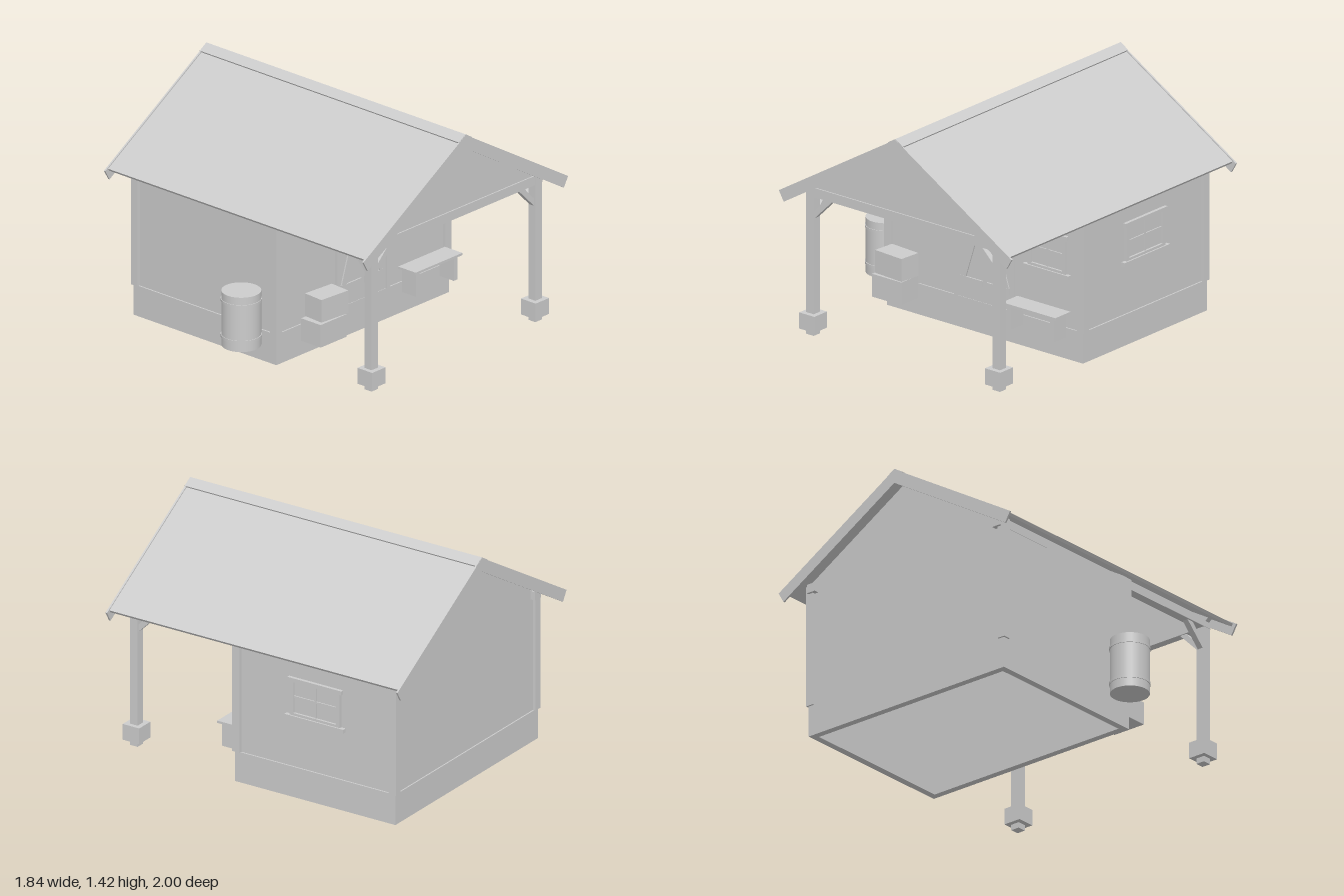
import * as THREE from 'three';

const material = new THREE.MeshStandardMaterial({ color: 0xcccccc, flatShading: true });
const smooth = new THREE.MeshStandardMaterial({ color: 0xcccccc });
const CX = 0.057; // centre line of the house
const SLOPE = 0.603; // roof rise per unit of run

export function createModel() {
  const root = new THREE.Group();

  const group = (name, parent = root) => {
    const g = new THREE.Group();
    g.name = name;
    parent.add(g);
    return g;
  };
  const add = (name, geometry, parent = root, mat = material) => {
    const mesh = new THREE.Mesh(geometry, mat);
    mesh.name = name;
    parent.add(mesh);
    return mesh;
  };
  // box given by its limits on each axis
  const box = (name, [x0, x1], [y0, y1], [z0, z1], parent = root) => {
    const mesh = add(name, new THREE.BoxGeometry(x1 - x0, y1 - y0, z1 - z0), parent);
    mesh.position.set((x0 + x1) / 2, (y0 + y1) / 2, (z0 + z1) / 2);
    return mesh;
  };
  // flat outline extruded from z0 to z1
  const slab = (name, points, z0, z1, parent = root) => {
    const shape = new THREE.Shape(points.map(([x, y]) => new THREE.Vector2(x, y)));
    const mesh = add(name, new THREE.ExtrudeGeometry(shape, { depth: z1 - z0, bevelEnabled: false }), parent);
    mesh.position.z = z0;
    return mesh;
  };
  // outline mirrored about the house centre line, from a half listed apex first, apex last
  const mirrored = (half) => [
    ...half.map(([x, y]) => [CX + x, y]),
    ...half.filter(([x]) => x > 0).reverse().map(([x, y]) => [CX - x, y]),
  ];
  // pair of limits on one side of the centre line
  const sideRange = (s, a, b) => (s > 0 ? [CX + a, CX + b] : [CX - b, CX - a]);

  // foundation: a hollow ring, open below
  const foundation = group('foundation');
  for (const s of [-1, 1]) box('foundationSide', sideRange(s, 0.685, 0.727), [0, 0.188], [-0.895, 0.205], foundation);
  box('foundationFront', [CX - 0.69, CX + 0.69], [0, 0.188], [0.163, 0.205], foundation);
  box('foundationBack', [CX - 0.69, CX + 0.69], [0, 0.188], [-0.895, -0.853], foundation);

  // walls with gables, and corner boards
  const walls = group('walls');
  const gableEnd = mirrored([[0, 1.385], [0.718, 1.385 - 0.718 * SLOPE], [0.718, 0.188]]);
  slab('frontWall', gableEnd, 0.163, 0.197, walls);
  slab('backWall', gableEnd, -0.887, -0.853, walls);
  for (const s of [-1, 1]) {
    box('sideWall', sideRange(s, 0.685, 0.718), [0.188, 0.94], [-0.86, 0.17], walls);
    for (const z of [-0.905, 0.165]) box('cornerBoard', sideRange(s, 0.688, 0.738), [0.188, 0.935], [z, z + 0.05], walls);
  }

  // roof
  const roof = group('roof');
  const chevron = (name, half, z0, z1) => slab(name, [
    [CX, half[0]],
    [CX + half[1][0], half[1][1]],
    [CX + half[2][0], half[2][1]],
    [CX, half[3]],
    [CX - half[2][0], half[2][1]],
    [CX - half[1][0], half[1][1]],
  ], z0, z1, roof);
  chevron('roofPanels', [1.412, [0.838, 0.907], [0.828, 0.892], 1.39], -0.99, 0.99);
  chevron('ridgeCap', [1.424, [0.056, 1.39], [0.05, 1.379], 1.405], -0.999, 0.999);
  for (const z of [-1, 0.989]) chevron('bargeBoards', [1.42, [0.862, 0.9], [0.826, 0.838], 1.335], z, z + 0.011);

  // porch frame
  const porch = group('porch');
  slab('porchGable', mirrored([[0, 1.385], [0.738, 0.94], [0.69, 0.9]]), 0.888, 0.92, porch);
  box('crossBeam', [CX - 0.718, CX + 0.718], [0.885, 0.942], [0.878, 0.928], porch);
  for (const s of [-1, 1]) {
    box('eaveBeam', sideRange(s, 0.661, 0.719), [0.887, 0.94], [-0.92, 0.932], porch);
    box('porchPost', sideRange(s, 0.662, 0.718), [0.04, 0.93], [0.876, 0.93], porch);
    box('postFooting', sideRange(s, 0.632, 0.745), [0.074, 0.172], [0.847, 0.96], porch);
    // diagonal braces, one across and one along the house
    const brace = [[0, 0.755], [0.135, 0.89], [0.09, 0.89], [0, 0.8]];
    slab('crossBrace', brace.map(([d, y]) => [CX + s * (0.662 - d), y]), 0.885, 0.921, porch);
    const along = slab('lengthBrace', brace, -0.018, 0.018, porch);
    along.rotation.y = Math.PI / 2;
    along.position.set(CX + s * 0.69 - 0.018, 0, 0.876);
  }

  // double door with Z bracing
  const door = group('door');
  box('doorPanel', [-0.14, 0.254], [0.188, 0.857], [0.19, 0.202], door);
  box('doorFrameTop', [-0.165, 0.28], [0.857, 0.885], [0.19, 0.214], door);
  for (const s of [-1, 1]) {
    box('doorFrameSide', sideRange(s, 0.197, 0.222), [0.188, 0.857], [0.19, 0.214], door);
    for (const y of [0.28, 0.709]) box('doorBatten', sideRange(s, 0.015, 0.182), [y, y + 0.04], [0.195, 0.211], door);
    slab('doorDiagonal', [[0.015, 0.709], [0.055, 0.709], [0.182, 0.32], [0.138, 0.32]]
      .map(([x, y]) => [CX + s * x, y]), 0.198, 0.21, door);
  }

  // window facing +z around its own centre; w is the opening width
  const makeWindow = (name, w) => {
    const win = group(name);
    const h = w / 2;
    box('glass', [-h, h], [0.52, 0.725], [-0.005, 0.003], win);
    box('header', [-h - 0.038, h + 0.038], [0.72, 0.745], [-0.005, 0.02], win);
    box('sill', [-h - 0.055, h + 0.055], [0.488, 0.512], [-0.005, 0.025], win);
    box('lowerRail', [-h, h], [0.512, 0.527], [-0.005, 0.016], win);
    for (const s of [-1, 1]) {
      const x = s * (h + 0.0125);
      box('jamb', [x - 0.0125, x + 0.0125], [0.512, 0.72], [-0.005, 0.016], win);
    }
    box('uprightBar', [-0.006, 0.006], [0.527, 0.72], [0, 0.01], win);
    box('crossBar', [-h, h], [0.62, 0.632], [0, 0.01], win);
    return win;
  };
  makeWindow('frontWindow', 0.228).position.set(0.52, 0, 0.197);
  const sideWindow = makeWindow('sideWindow', 0.293);
  sideWindow.rotation.y = Math.PI / 2;
  sideWindow.position.set(CX + 0.718, 0, -0.347);

  // bench
  const bench = group('bench');
  box('benchSeat', [0.323, 0.717], [0.295, 0.309], [0.235, 0.37], bench);
  for (const x of [0.345, 0.663]) box('benchLeg', [x, x + 0.03], [0.148, 0.295], [0.245, 0.353], bench);

  // stacked crates, the upper one turned a little
  const crates = group('crates');
  box('lowerCrate', [-0.57, -0.352], [0.148, 0.287], [0.305, 0.455], crates);
  const upper = box('upperCrate', [-0.549, -0.34], [0.295, 0.434], [0.318, 0.455], crates);
  upper.rotation.y = -0.08;

  // barrel with two hoops
  const barrel = group('barrel');
  barrel.position.set(-0.803, 0, 0.057);
  const ring = (name, r, y0, y1) => {
    add(name, new THREE.CylinderGeometry(r, r, y1 - y0, 32), barrel, smooth).position.y = (y0 + y1) / 2;
  };
  ring('barrelBody', 0.114, 0.128, 0.463);
  ring('barrelHoop', 0.118, 0.18, 0.197);
  ring('barrelHoop', 0.118, 0.401, 0.417);

  return root;
}
